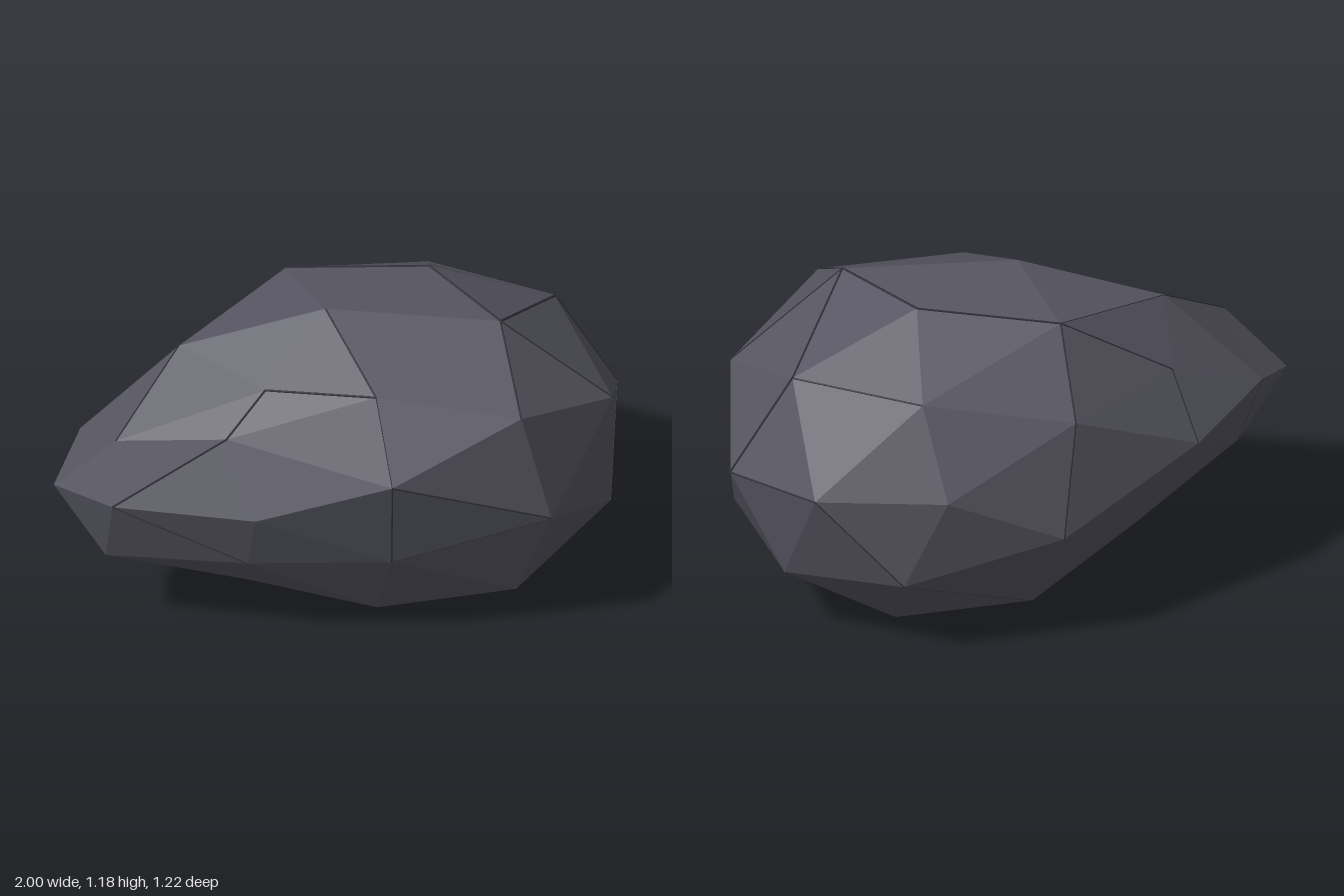
import * as THREE from 'three';
import { ConvexGeometry } from 'three/addons/geometries/ConvexGeometry.js';

// Corner points of the boulder, grouped by region
const P = {
  // right-hand blunt end (+x)
  a: [.91, .81, .26], b: [1, .60, -.13], d: [.79, .96, -.16], f: [.78, .64, -.46],
  m: [.92, .32, .17], p: [.84, .26, -.26],
  // crown
  c: [.53, 1.145, .215], e: [.35, 1.16, -.13], l: [-.05, 1.18, .08], q: [-.54, 1.03, -.01],
  r: [-.12, 1.12, -.27], g: [.40, .96, -.44], k: [.06, 1.03, .42], k2: [-.29, .99, .25],
  k3: [-.44, .86, .33],
  // front
  h: [.64, .55, .56], i: [.54, .96, .54], j: [.08, .78, .61], s: [-.37, .62, .49],
  x: [-.38, .38, .39], y: [.10, .39, .49], n: [.55, .16, .40], z: [.08, .09, .32],
  // tapered end (-x)
  u: [-1, .61, .13], t: [-.80, .82, .21], t2: [-.83, .61, .30], v: [-.83, .33, .18],
  w: [-.87, .69, -.07], gg: [-.80, .42, 0],
  // back
  bb: [.35, .66, -.61], cc: [-.06, .46, -.59], dd: [-.12, .86, -.505], ee: [-.58, .64, -.36],
  ff: [-.52, .86, -.22], ii: [.49, .32, -.55],
  // underside
  o: [.59, 0, .05], jj: [.46, .05, -.29], kk: [.01, .12, -.40], ll: [.01, .025, .05],
  mm: [-.39, .34, -.31], nn: [-.46, .24, -.02], oo: [-.35, .175, .19],
};

// Chains of edges that carry a dark crack, by how far it stands open
const cracks = [
  { radius: .0045, chains: ['t2 k3 k2 k', 'c e r', 'c d b'] },
  { radius: .003, chains: ['k l', 'j h', 'j y h', 't2 x', 'c a', 'c i', 'd g', 'q t', 'b f',
    'r dd cc', 'r ff ee', 'f ii', 'p o'] },
  { radius: .0015, chains: ['k j', 'm p', 'z n', 'r q', 'ii kk mm nn gg w', 'kk ll', 'b m'] },
];

// Joins the points as on a ball, then moves each corner to its true place
function rockGeometry() {
  const corners = Object.values(P).map((c) => new THREE.Vector3(...c));
  const balls = corners.map((c) =>
    new THREE.Vector3(c.x, (c.y - .59) / .59, c.z / .61).normalize());
  const geometry = new ConvexGeometry(balls);
  const pos = geometry.attributes.position;
  const here = new THREE.Vector3();
  for (let n = 0; n < pos.count; n++) {
    here.fromBufferAttribute(pos, n);
    let best = 0;
    balls.forEach((ball, k) => {
      if (ball.distanceToSquared(here) < balls[best].distanceToSquared(here)) best = k;
    });
    pos.setXYZ(n, corners[best].x, corners[best].y, corners[best].z);
  }
  geometry.computeVertexNormals();
  return geometry;
}

// Thin four-sided bar between two corners
function crackMesh(from, to, radius, material) {
  const start = new THREE.Vector3(...from);
  const span = new THREE.Vector3(...to).sub(start);
  const mesh = new THREE.Mesh(new THREE.CylinderGeometry(radius, radius, span.length(), 4), material);
  mesh.position.copy(start).addScaledVector(span, .5);
  mesh.quaternion.setFromUnitVectors(new THREE.Vector3(0, 1, 0), span.normalize());
  mesh.name = 'crack';
  return mesh;
}

export function createModel() {
  const stone = new THREE.MeshStandardMaterial({ color: 0x565561 });
  stone.name = 'stone';
  stone.flatShading = true;
  const dark = new THREE.MeshStandardMaterial({ color: 0x33323b });
  dark.name = 'darkCrack';

  const model = new THREE.Group();
  model.name = 'boulder';
  const rock = new THREE.Mesh(rockGeometry(), stone);
  rock.name = 'rock';
  model.add(rock);

  // Cracks along some of the ridges
  const lines = new THREE.Group();
  lines.name = 'cracks';
  for (const { radius, chains } of cracks) {
    for (const chain of chains) {
      const keys = chain.split(' ');
      for (let n = 1; n < keys.length; n++) {
        lines.add(crackMesh(P[keys[n - 1]], P[keys[n]], radius, dark));
      }
    }
  }
  model.add(lines);
  return model;
}
